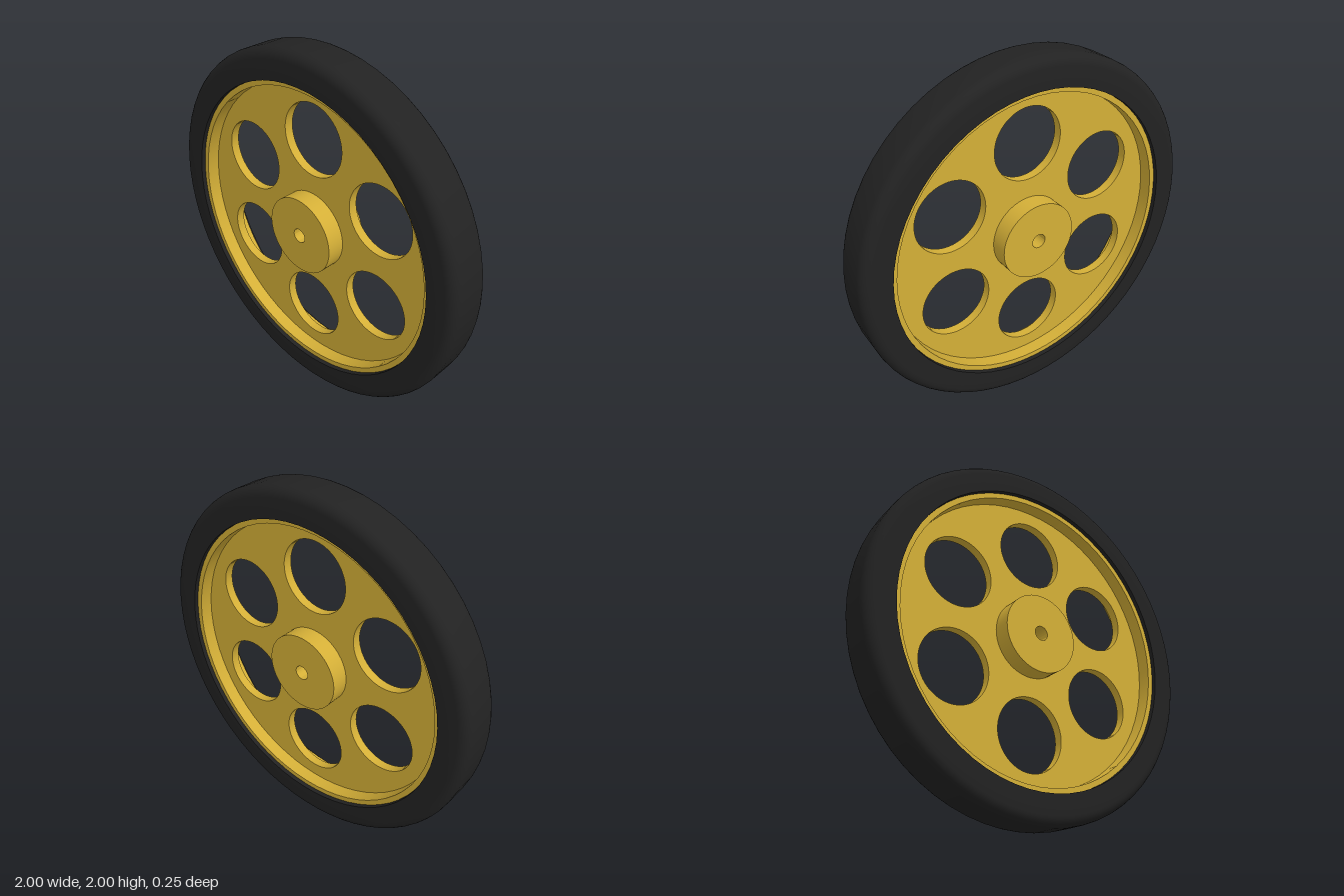
import * as THREE from 'three';
import { toCreasedNormals } from 'three/addons/utils/BufferGeometryUtils.js';

const SIDES = 64;
const gold = new THREE.MeshStandardMaterial({ color: 0xd4af37 });
const rubber = new THREE.MeshStandardMaterial({ color: 0x222222 });

// Closed counter-clockwise (radius, width) profile turned around the z axis
function ring(name, profile, material) {
  const points = [...profile, profile[0]].map(([r, w]) => new THREE.Vector2(r, w));
  const geometry = new THREE.LatheGeometry(points, SIDES).rotateX(Math.PI / 2);
  const mesh = new THREE.Mesh(toCreasedNormals(geometry, 0.6), material);
  mesh.name = name;
  return mesh;
}

// Rectangular section between two radii
const band = (inner, outer, half) => [[inner, -half], [outer, -half], [outer, half], [inner, half]];

function circlePath(x, y, r) {
  return new THREE.Path().absarc(x, y, r, 0, Math.PI * 2, true);
}

export function createModel() {
  const wheel = new THREE.Group();
  wheel.name = 'wheel';

  // Tyre: square inner edge, rounded shoulders
  const half = 0.125, shoulder = 0.055, steps = 6;
  const section = [[0.84, -half]];
  for (const side of [-1, 1]) {
    for (let i = 0; i <= steps; i++) {
      const a = (side < 0 ? i - steps : i) / steps * Math.PI / 2;
      section.push([
        1 - shoulder + shoulder * Math.cos(a),
        side * (half - shoulder) + shoulder * Math.sin(a),
      ]);
    }
  }
  section.push([0.84, half]);
  wheel.add(ring('tyre', section, rubber));

  // Rim, slightly recessed in the tyre, and hub with axle bore
  wheel.add(ring('rim', band(0.81, 0.84, 0.1), gold));
  wheel.add(ring('hub', band(0.04, 0.22, half), gold));

  // Thin web with six round lightening holes
  const disc = new THREE.Shape().absarc(0, 0, 0.82, 0, Math.PI * 2, false);
  disc.holes.push(circlePath(0, 0, 0.2));
  for (let i = 0; i < 6; i++) {
    const a = Math.PI / 2 + i * Math.PI / 3;
    disc.holes.push(circlePath(0.53 * Math.cos(a), 0.53 * Math.sin(a), 0.2));
  }
  const thickness = 0.05;
  const webGeometry = new THREE.ExtrudeGeometry(disc, {
    depth: thickness, bevelEnabled: false, curveSegments: SIDES,
  }).translate(0, 0, -thickness / 2);
  const web = new THREE.Mesh(toCreasedNormals(webGeometry, 0.6), gold);
  web.name = 'web';
  wheel.add(web);

  wheel.position.y = 1;
  const model = new THREE.Group();
  model.add(wheel);
  return model;
}
